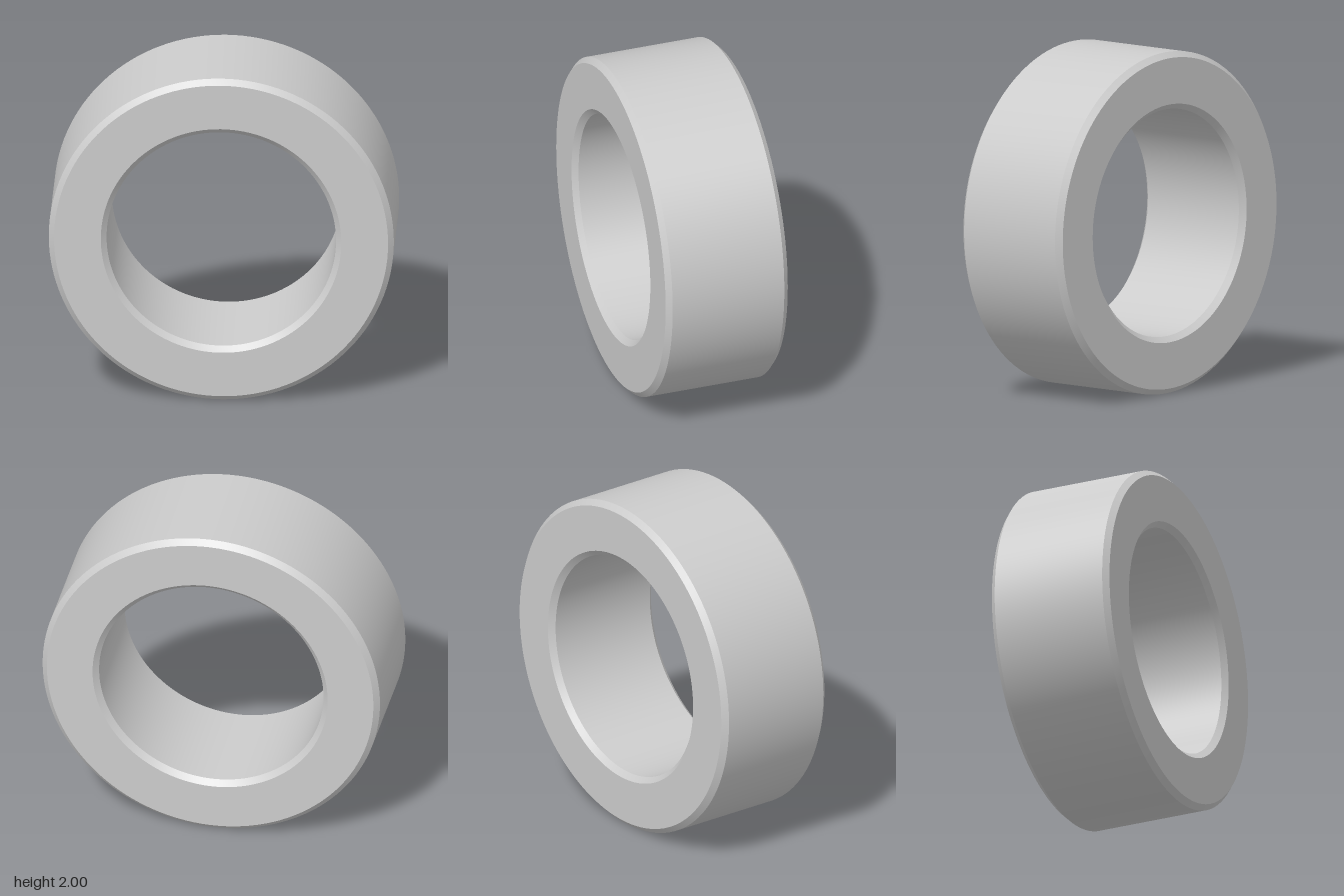
import * as THREE from 'three';
import { toCreasedNormals } from 'three/addons/utils/BufferGeometryUtils.js';

export function createModel() {
  const group = new THREE.Group();
  const outer = 1, inner = 0.665, half = 0.374, bevel = 0.032;

  // Closed cross-section: outer wall, front face, bore, back face, with bevelled corners
  const profile = [
    [outer, -half + bevel], [outer, half - bevel],
    [outer - bevel, half], [inner + bevel, half],
    [inner, half - bevel], [inner, -half + bevel],
    [inner + bevel, -half], [outer - bevel, -half],
    [outer, -half + bevel],
  ].map(([r, y]) => new THREE.Vector2(r, y));

  // Ring turned about its axis, then stood upright with the bore along z
  const geometry = toCreasedNormals(new THREE.LatheGeometry(profile, 128), Math.PI / 6);
  geometry.rotateX(Math.PI / 2);
  geometry.translate(0, outer, 0);

  const ring = new THREE.Mesh(geometry, new THREE.MeshStandardMaterial({ color: 0xcccccc }));
  ring.name = 'bevelledRing';
  group.add(ring);
  return group;
}
